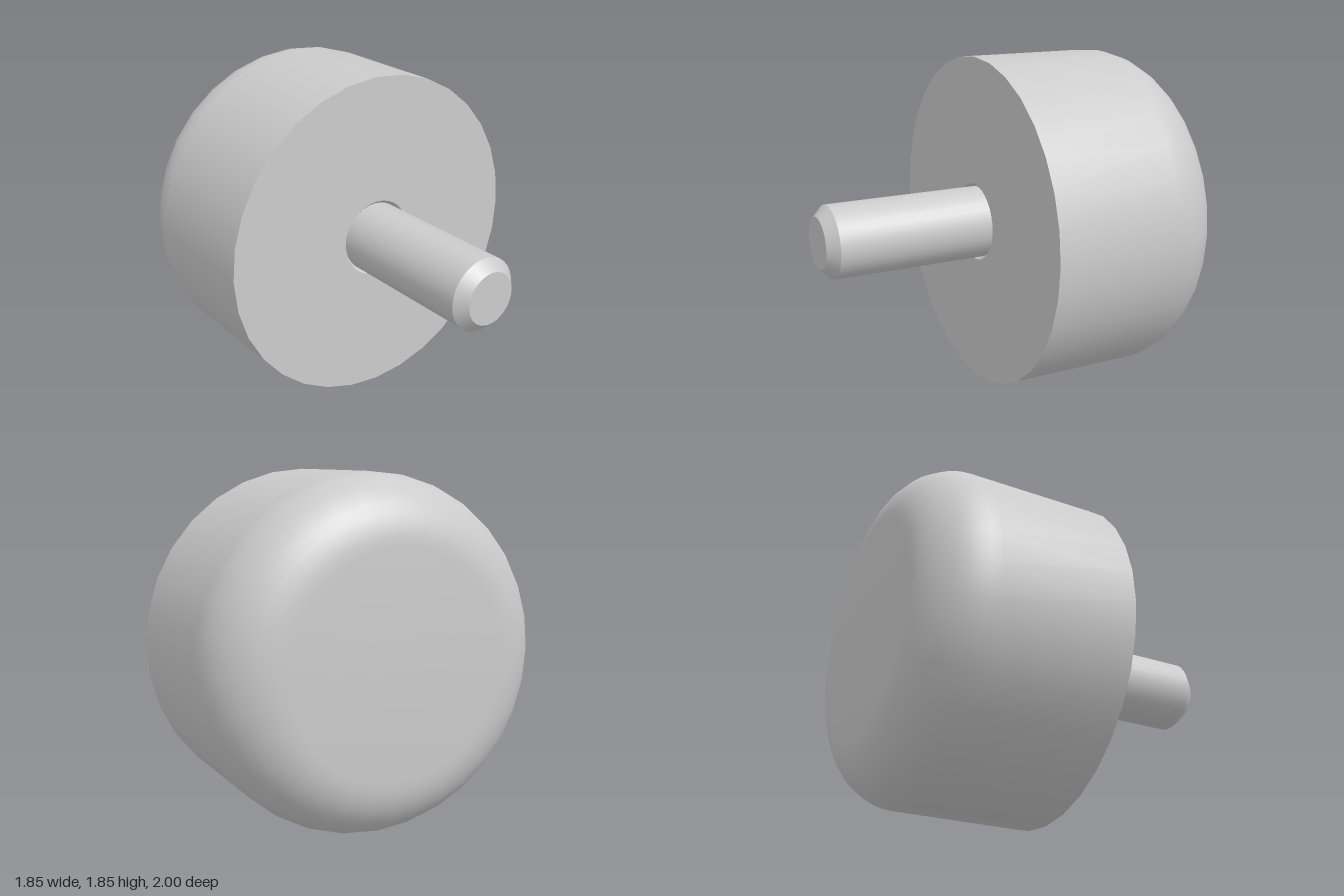
import * as THREE from 'three';
import { toCreasedNormals } from 'three/addons/utils/BufferGeometryUtils.js';

const SIDES = 32;
const RADIUS = 0.923;
const FILLET = 0.34;
const BACK = -1;
const FACE = 0.08;

// Spins an [r, z] profile, listed from back to front, around the z axis.
function turned(name, profile, material) {
  const points = profile.map(([r, z]) => new THREE.Vector2(r, z));
  const geometry = new THREE.LatheGeometry(points, SIDES).rotateX(Math.PI / 2);
  const mesh = new THREE.Mesh(toCreasedNormals(geometry, 0.5), material);
  mesh.name = name;
  return mesh;
}

export function createModel() {
  const group = new THREE.Group();
  group.name = 'bumperFoot';
  const material = new THREE.MeshStandardMaterial({ color: 0xcccccc });

  // Bumper: flat back, rounded rim, straight wall, front face with countersink
  const bumper = [[0, BACK]];
  const steps = 10;
  for (let i = 0; i <= steps; i++) {
    const a = (i / steps) * Math.PI / 2;
    bumper.push([
      RADIUS - FILLET + FILLET * Math.sin(a),
      BACK + FILLET - FILLET * Math.cos(a),
    ]);
  }
  bumper.push([RADIUS, FACE], [0.217, FACE], [0.2, FACE - 0.02]);

  // Stud: plain shaft with a chamfered tip
  const stud = [[0.2, FACE - 0.02], [0.2, 0.94], [0.143, 1], [0, 1]];

  group.add(turned('bumper', bumper, material), turned('stud', stud, material));
  for (const part of group.children) part.position.y = RADIUS;
  return group;
}
